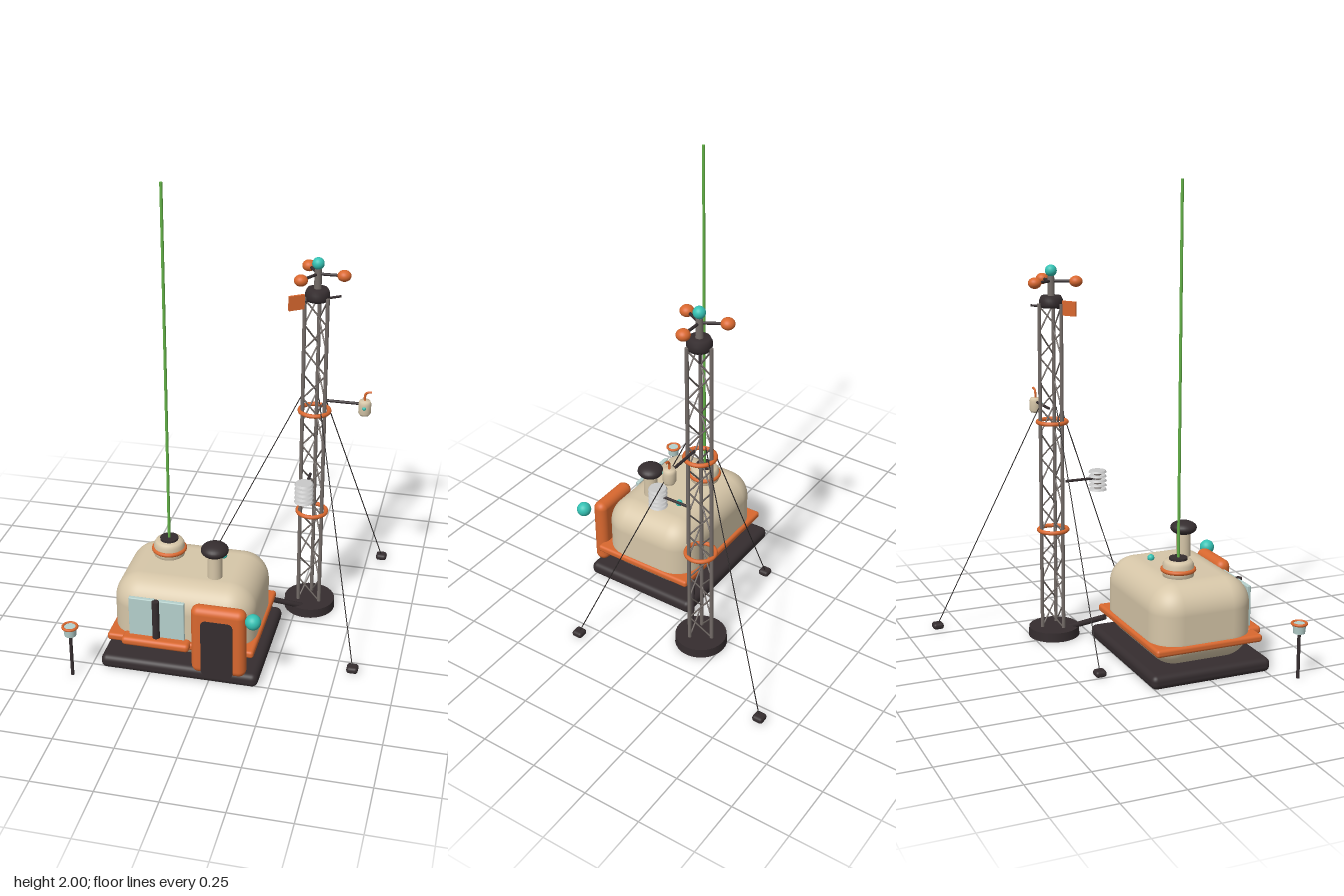
import * as THREE from 'three';
import { RoundedBoxGeometry } from 'three/addons/geometries/RoundedBoxGeometry.js';

const mat = (name, color) => Object.assign(new THREE.MeshStandardMaterial({ color }), { name });
const V = (x, y, z) => new THREE.Vector3(x, y, z);

export function createModel() {
  const model = new THREE.Group();
  model.name = 'weatherStation';
  const cream = mat('cream', 0xd6c6a8), orange = mat('orange', 0xd9682f), dark = mat('charcoal', 0x352d2f);
  const teal = mat('teal', 0x35c2b4), glass = mat('paleGlass', 0xb5d0cc), steel = mat('steel', 0x746c68);
  const wire = mat('wireBlack', 0x2a2626), silver = mat('silver', 0xc9c9c9), green = mat('green', 0x62b046);

  const add = (name, geo, m, x = 0, y = 0, z = 0, parent = model) => {
    const mesh = new THREE.Mesh(geo, m);
    mesh.name = name;
    mesh.position.set(x, y, z);
    parent.add(mesh);
    return mesh;
  };
  // Rounded box given by its lower and upper limits
  const box = (name, m, [x0, y0, z0], [x1, y1, z1], r, seg = 4) =>
    add(name, new RoundedBoxGeometry(x1 - x0, y1 - y0, z1 - z0, seg, r), m,
      (x0 + x1) / 2, (y0 + y1) / 2, (z0 + z1) / 2);
  // Upright cylinder from y0 to y1
  const post = (name, m, x, z, y0, y1, r0, r1 = r0, parent = model) =>
    add(name, new THREE.CylinderGeometry(r1, r0, y1 - y0, 28), m, x, (y0 + y1) / 2, z, parent);
  const ball = (name, m, x, y, z, r, flat = 1, parent = model) => {
    const b = add(name, new THREE.SphereGeometry(r, 28, 18), m, x, y, z, parent);
    b.scale.y = flat;
    return b;
  };
  const ring = (name, m, x, y, z, R, r) => {
    const t = add(name, new THREE.TorusGeometry(R, r, 12, 40), m, x, y, z);
    t.rotation.x = Math.PI / 2;
    return t;
  };
  // Round bar between two points
  const rod = (name, m, a, b, r, sides = 10, parent = model) => {
    const d = b.clone().sub(a);
    const mesh = add(name, new THREE.CylinderGeometry(r, r, d.length(), sides), m, 0, 0, 0, parent);
    mesh.position.copy(a).add(b).multiplyScalar(0.5);
    mesh.quaternion.setFromUnitVectors(V(0, 1, 0), d.normalize());
    return mesh;
  };

  // Cabin
  box('foundation', dark, [-0.46, 0, -0.015], [0.205, 0.06, 0.52], 0.025);
  box('cabinBody', cream, [-0.425, 0.05, 0.027], [0.172, 0.395, 0.475], 0.115, 8);
  box('bumperBelt', orange, [-0.434, 0.125, 0.014], [0.183, 0.157, 0.492], 0.012);

  // Window
  for (const [x0, x1] of [[-0.34, -0.23], [-0.218, -0.106]])
    box('windowPane', glass, [x0, 0.16, 0.465], [x1, 0.34, 0.484], 0.004, 2);
  post('windowMullion', dark, -0.224, 0.487, 0.165, 0.34, 0.015);
  box('windowSill', orange, [-0.366, 0.13, 0.455], [-0.08, 0.167, 0.523], 0.016);

  // Door
  box('doorFrame', orange, [-0.069, 0.05, 0.472], [0.158, 0.362, 0.537], 0.031, 6);
  const door = new THREE.Shape();
  const [dx, dy, dr] = [0.066, 0.13, 0.024];
  door.moveTo(-dx + dr, -dy).lineTo(dx - dr, -dy).quadraticCurveTo(dx, -dy, dx, -dy + dr);
  door.lineTo(dx, dy - dr).quadraticCurveTo(dx, dy, dx - dr, dy);
  door.lineTo(-dx + dr, dy).quadraticCurveTo(-dx, dy, -dx, dy - dr);
  door.lineTo(-dx, -dy + dr).quadraticCurveTo(-dx, -dy, -dx + dr, -dy);
  add('doorPanel', new THREE.ExtrudeGeometry(door, { depth: 0.007, bevelEnabled: false }), dark, 0.042, 0.18, 0.533);
  ball('doorLamp', teal, 0.195, 0.346, 0.55, 0.032);

  // Roof fittings
  const hatch = [[0, 0.375], [0.062, 0.375], [0.066, 0.41], [0.064, 0.445], [0.056, 0.459], [0.038, 0.463], [0, 0.463]];
  add('antennaMount', new THREE.LatheGeometry(hatch.map(p => new THREE.Vector2(...p)), 36), cream, -0.243, 0, 0.195);
  ring('antennaMountRing', orange, -0.243, 0.421, 0.195, 0.065, 0.009);
  post('antennaCap', dark, -0.243, 0.195, 0.455, 0.472, 0.038);
  post('antenna', green, -0.243, 0.195, 0.465, 2, 0.006);
  post('chimney', cream, -0.013, 0.33, 0.37, 0.51, 0.031);
  ball('chimneyCap', dark, -0.013, 0.52, 0.33, 0.057, 0.53);
  ball('roofLight', teal, -0.013, 0.403, 0.177, 0.015);

  // Lattice mast with three legs
  const mx = 0.302, mz = -0.147;
  const mast = new THREE.Group();
  mast.name = 'mast';
  mast.position.set(mx, 0, mz);
  model.add(mast);
  post('mastBase', dark, 0, 0, 0, 0.04, 0.112, 0.11, mast);
  const leg = (i, y) => {
    const a = Math.PI / 6 + i * Math.PI * 2 / 3;
    return V(Math.cos(a) * 0.054, y, Math.sin(a) * 0.054);
  };
  const bays = 13, y0 = 0.04, step = 1.42 / bays;
  for (let i = 0; i < 3; i++) {
    rod('mastLeg', steel, leg(i, y0), leg(i, 1.47), 0.008, 10, mast);
    for (let b = 0; b < bays; b++) {
      const flip = b % 2;
      rod('mastBrace', steel, leg(i + flip, y0 + b * step), leg(i + 1 - flip, y0 + (b + 1) * step), 0.0035, 6, mast);
    }
  }
  for (const y of [0.48, 0.96]) ring('mastRing', orange, mx, y, mz, 0.062, 0.009);
  box('mastCap', dark, [mx - 0.05, 1.452, mz - 0.05], [mx + 0.05, 1.502, mz + 0.05], 0.012).visible = false;
  model.remove(model.getObjectByName('mastCap'));
  const cap = [[0, 1.452], [0.045, 1.452], [0.05, 1.465], [0.05, 1.485], [0.042, 1.502], [0, 1.502]];
  add('mastCap', new THREE.LatheGeometry(cap.map(p => new THREE.Vector2(...p)), 32), dark, 0, 0, 0, mast);

  // Spinning wind cups
  post('cupSpindle', steel, 0, 0, 1.49, 1.585, 0.016, 0.014, mast);
  for (let i = 0; i < 3; i++) {
    const a = i * Math.PI * 2 / 3, c = Math.cos(a) * 0.106, s = Math.sin(a) * 0.106;
    rod('cupArm', dark, V(0, 1.563, 0), V(c, 1.563, s), 0.006, 10, mast);
    ball('windCup', orange, c, 1.563, s, 0.028, 0.84, mast);
  }
  ball('mastBeacon', teal, 0, 1.607, 0, 0.025, 1, mast);

  // Wind vane
  const vane = new THREE.Group();
  vane.name = 'windVane';
  vane.position.set(0, 1.453, 0);
  vane.rotation.y = Math.PI - 0.6 + Math.PI * 2;
  vane.rotation.y = Math.PI + 0.6;
  mast.add(vane);
  rod('vaneRod', dark, V(-0.105, 0, 0), V(0.11, 0, 0), 0.005, 10, vane);
  add('vaneTail', new THREE.BoxGeometry(0.068, 0.062, 0.01), orange, 0.092, 0, 0, vane);

  // Louvred sensor shield on the front arm
  rod('shieldArm', dark, V(mx, 0.69, mz + 0.06), V(mx, 0.69, 0.06), 0.006);
  post('shieldCore', steel, mx, 0.063, 0.64, 0.722, 0.016);
  for (let i = 0; i < 5; i++) post('shieldPlate', silver, mx, 0.063, 0.637 + i * 0.02, 0.645 + i * 0.02, 0.04, 0.035);

  // Bucket instrument on the side arm
  rod('bucketArm', dark, V(mx + 0.04, 1.01, mz), V(0.5, 1.01, mz), 0.006);
  const bucket = [[0, 0.962], [0.02, 0.962], [0.026, 0.972], [0.027, 1.012], [0.022, 1.026], [0, 1.028]];
  add('bucket', new THREE.LatheGeometry(bucket.map(p => new THREE.Vector2(...p)), 28), cream, 0.512, 0, mz);
  const spout = new THREE.CatmullRomCurve3([V(0.512, 1.02, mz), V(0.512, 1.05, mz), V(0.52, 1.062, mz), V(0.54, 1.066, mz)]);
  add('bucketSpout', new THREE.TubeGeometry(spout, 16, 0.005, 8), orange);
  ball('bucketLens', teal, 0.513, 1, mz + 0.025, 0.008);

  // Guy wires and ground anchors
  for (let i = 0; i < 3; i++) {
    const a = Math.PI / 3 + i * Math.PI * 2 / 3, c = Math.cos(a), s = Math.sin(a);
    const [ax, az] = [mx + c * 0.527, mz + s * 0.527];
    rod('guyWire', wire, V(mx + c * 0.05, 1.035, mz + s * 0.05), V(ax, 0.018, az), 0.0022, 6);
    box('guyAnchor', dark, [ax - 0.024, 0, az - 0.024], [ax + 0.024, 0.028, az + 0.024], 0.012, 2);
  }

  // Cable duct from the cabin to the mast
  rod('cableDuct', dark, V(0.12, 0.115, 0.02), V(0.28, 0.03, -0.08), 0.012, 14);

  // Rain gauge on its own post
  post('gaugePost', dark, -0.558, 0.588, 0, 0.2, 0.007);
  post('gaugeCup', glass, -0.558, 0.588, 0.195, 0.236, 0.024, 0.028);
  ring('gaugeRim', orange, -0.558, 0.235, 0.588, 0.029, 0.006);

  return model;
}
